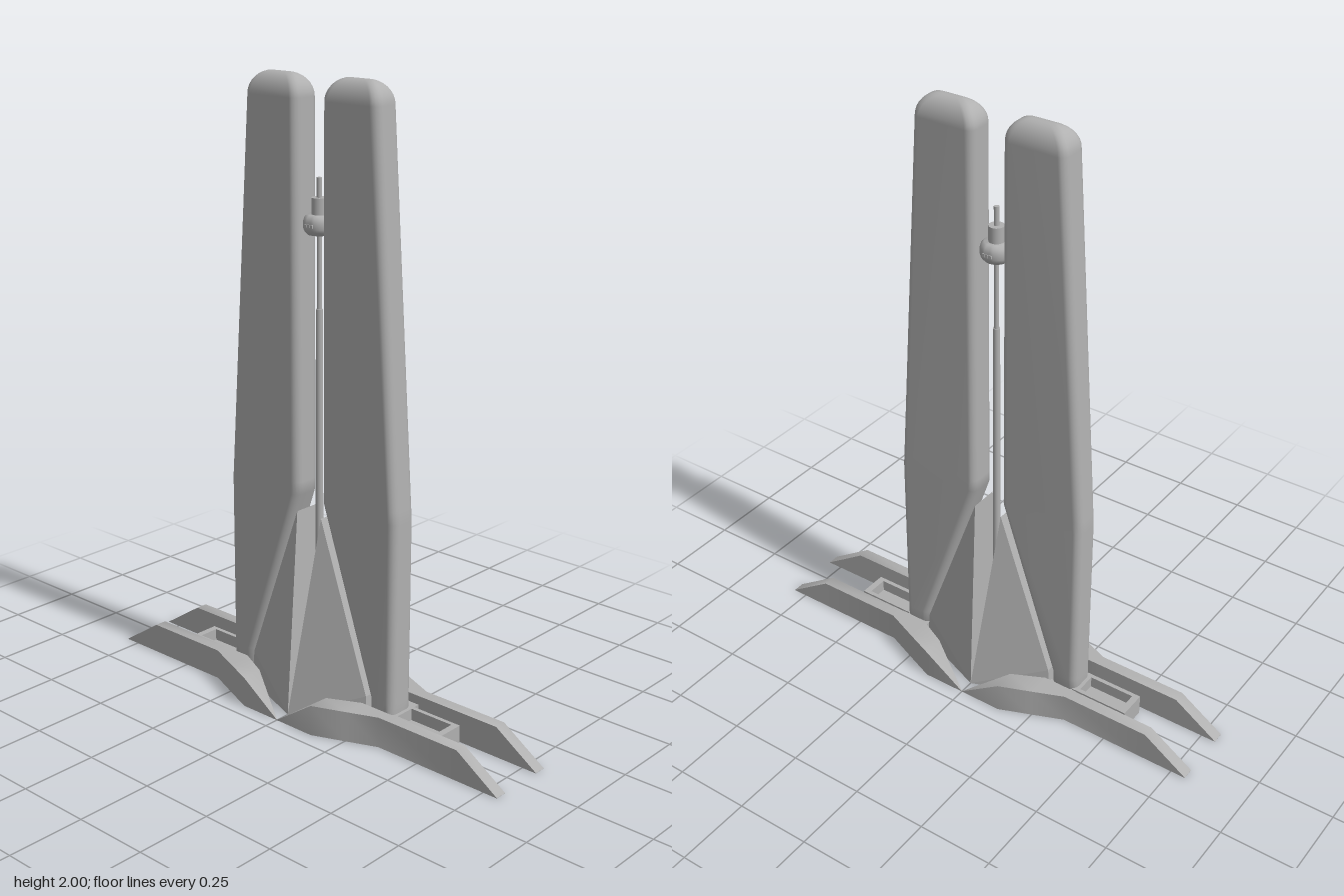
import * as THREE from 'three';
import { toCreasedNormals } from 'three/addons/utils/BufferGeometryUtils.js';
import { ConvexGeometry } from 'three/addons/geometries/ConvexGeometry.js';

// Skins a list of rings (arrays of [x, y, z]) and caps both ends; mirrors with sx, sz.
function loft(rings, sx, sz) {
  const n = rings[0].length, pos = [], idx = [];
  const tri = (a, b, c) => (sx * sz > 0 ? idx.push(a, b, c) : idx.push(a, c, b));
  rings.forEach(r => r.forEach(([x, y, z]) => pos.push(x * sx, y, z * sz)));
  for (let i = 0; i < rings.length - 1; i++) {
    for (let j = 0; j < n; j++) {
      const a = i * n + j, b = i * n + (j + 1) % n;
      tri(a, b, b + n);
      tri(a, b + n, a + n);
    }
  }
  const last = (rings.length - 1) * n;
  for (let j = 1; j < n - 1; j++) {
    tri(0, j + 1, j);
    tri(last, last + j, last + j + 1);
  }
  const g = new THREE.BufferGeometry();
  g.setAttribute('position', new THREE.Float32BufferAttribute(pos, 3));
  g.setIndex(idx);
  g.computeVertexNormals();
  return g;
}

// Horizontal rounded rectangle from xIn to xOut, half depth hz.
function slabRing(y, xIn, xOut, hz) {
  const ring = [], rx = Math.min(0.025, (xOut - xIn) / 2), rz = hz * 0.55;
  const corners = [[1, 1, -90], [1, -1, 0], [-1, -1, 90], [-1, 1, 180]];
  for (const [cx, cz, start] of corners) {
    for (let k = 0; k <= 4; k++) {
      const t = THREE.MathUtils.degToRad(start + k * 22.5);
      const px = cx > 0 ? xOut - rx : xIn + rx;
      ring.push([px + rx * Math.cos(t), y, cz * (hz - rz) - rz * Math.sin(t)]);
    }
  }
  return ring;
}

export function createModel() {
  const model = new THREE.Group();
  model.name = 'twinTower';
  const grey = new THREE.MeshStandardMaterial({ color: 0xb0b0b0 });
  grey.name = 'grey';
  const add = (name, geometry, parent = model) => {
    const mesh = new THREE.Mesh(geometry, grey);
    mesh.name = name;
    parent.add(mesh);
    return mesh;
  };

  // Tower slab: slanted foot, tapering outer side, domed top
  const slabRings = [
    slabRing(0.01, 0.25, 0.345, 0.05),
    slabRing(0.11, 0.25, 0.345, 0.05),
    slabRing(0.7, 0.05, 0.345, 0.05),
    slabRing(0.74, 0.05, 0.342, 0.05),
  ];
  for (let k = 0; k <= 8; k++) {
    const t = (k / 8) * Math.PI / 2, inset = 0.07 * (1 - Math.cos(t));
    slabRings.push(slabRing(1.93 + 0.07 * Math.sin(t), 0.05 + inset, 0.26 - inset, 0.05 * Math.cos(t) + 0.0005));
  }

  // Leg stations: x, inner z, outer z, top y
  const legRings = [
    [0, 0.199, 0.2, 0.001], [0.145, 0.128, 0.2, 0.1], [0.25, 0.077, 0.158, 0.1],
    [0.35, 0.077, 0.117, 0.1], [0.65, 0.077, 0.117, 0.1], [0.8, 0.077, 0.117, 0.001],
  ].map(([x, zi, zo, top]) => [[x, 0, zi], [x, top, zi], [x, top, zo], [x, 0, zo]]);

  for (const s of [1, -1]) {
    const side = new THREE.Group();
    side.name = s > 0 ? 'leftHalf' : 'rightHalf';
    model.add(side);
    add('towerSlab', loft(slabRings, s, 1), side);

    // Fin wedge leaning away from the mast
    const finPoints = [];
    for (const z of [1, -1]) {
      finPoints.push(
        new THREE.Vector3(0, 0, 0.15 * z),
        new THREE.Vector3(s * 0.05, 0.65, 0.048 * z),
        new THREE.Vector3(s * 0.243, 0.11, 0.052 * z),
        new THREE.Vector3(s * 0.25, 0, 0.052 * z));
      add(z > 0 ? 'frontLeg' : 'backLeg',
        toCreasedNormals(loft(legRings, s, z), 0.7), side);
    }
    add('fin', new ConvexGeometry(finPoints), side);

    // Strut joining the back leg to the tower
    add('strut', new THREE.BoxGeometry(0.1, 0.06, 0.04), side).position.set(s * 0.3, 0.04, -0.062);

    // Open tray beside the tower
    const rect = (P, x, z) => {
      const p = new P();
      p.moveTo(-x, -z); p.lineTo(x, -z); p.lineTo(x, z); p.lineTo(-x, z); p.closePath();
      return p;
    };
    const rim = rect(THREE.Shape, 0.1, 0.048);
    rim.holes.push(rect(THREE.Path, 0.078, 0.034));
    const rimGeometry = new THREE.ExtrudeGeometry(rim, { depth: 0.07, bevelEnabled: false });
    rimGeometry.rotateX(-Math.PI / 2);
    add('trayRim', rimGeometry, side).position.set(s * 0.435, 0.005, 0);
    add('trayFloor', new THREE.BoxGeometry(0.17, 0.03, 0.08), side).position.set(s * 0.435, 0.021, 0);
  }

  // Stepped mast
  const mast = new THREE.Group();
  mast.name = 'mast';
  model.add(mast);
  const rod = (name, r0, r1, y0, y1) =>
    add(name, new THREE.CylinderGeometry(r1, r0, y1 - y0, 24), mast).position.set(0, (y0 + y1) / 2, 0);
  rod('lowerMast', 0.013, 0.011, 0.01, 1.3);
  rod('upperMast', 0.008, 0.007, 1.3, 1.54);
  rod('collar', 0.024, 0.024, 1.58, 1.64);
  rod('tip', 0.008, 0.008, 1.64, 1.7);

  // Round cabin on the mast
  const cabin = [[0, 1.53], [0.036, 1.53], [0.045, 1.54], [0.049, 1.55], [0.049, 1.57], [0.045, 1.582], [0.036, 1.59], [0, 1.59]]
    .map(([r, y]) => new THREE.Vector2(r, y));
  add('cabin', toCreasedNormals(new THREE.LatheGeometry(cabin, 32), 0.8), mast);

  // Small cabin windows, front and back
  for (const z of [1, -1]) {
    for (const x of [-0.012, 0, 0.012]) {
      add('window', new THREE.BoxGeometry(0.008, 0.01, 0.006), mast).position.set(x, 1.56, z * 0.048);
    }
  }
  return model;
}
